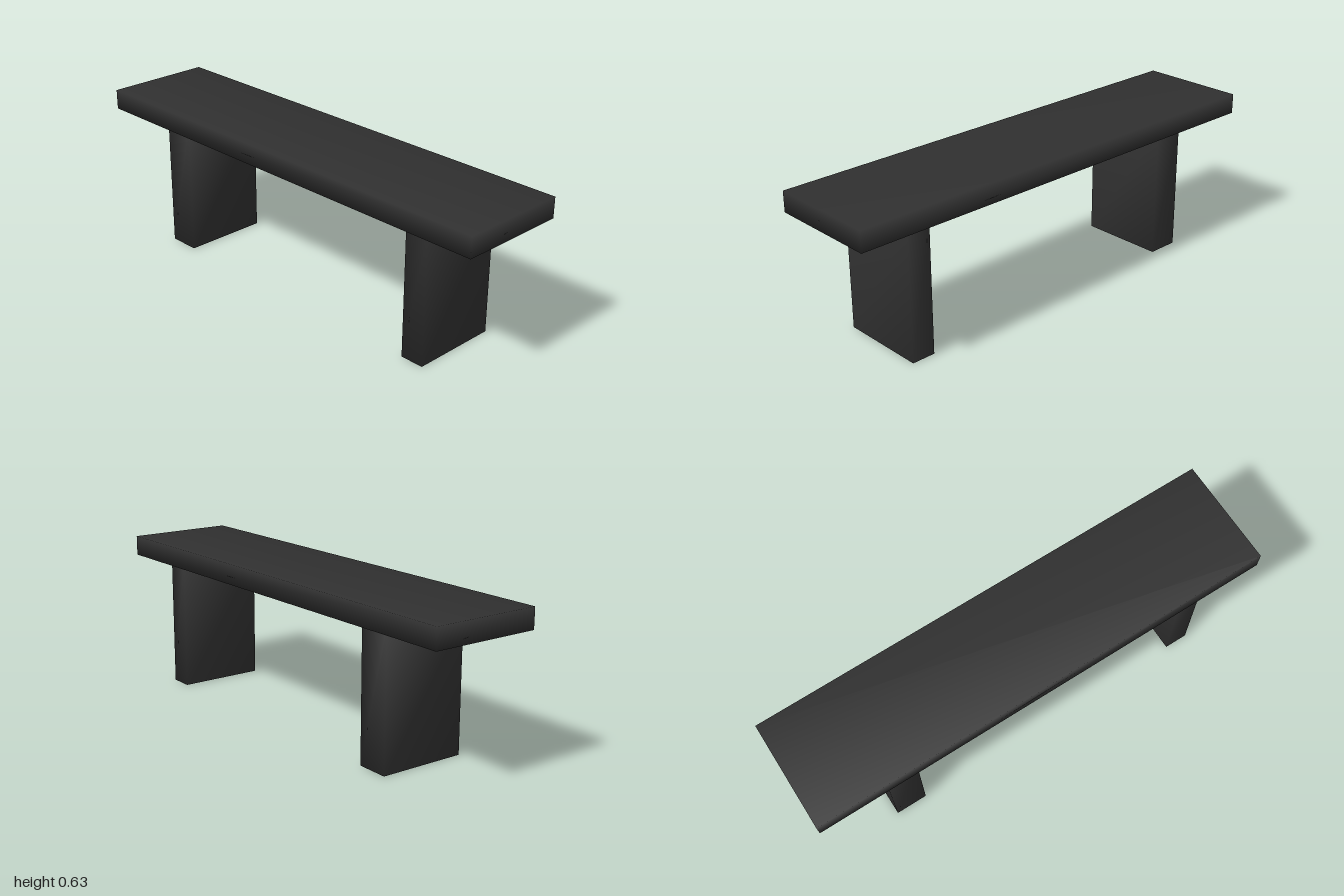
import * as THREE from 'three';
import { mergeVertices } from 'three/addons/utils/BufferGeometryUtils.js';

// Box with shared corners, so its shading runs softly around the edges
function softBox(w, h, d) {
  const box = new THREE.BoxGeometry(w, h, d);
  box.deleteAttribute('normal');
  box.deleteAttribute('uv');
  const geometry = mergeVertices(box);
  geometry.computeVertexNormals();
  return geometry;
}

export function createModel() {
  const bench = new THREE.Group();
  bench.name = 'bench';
  const charcoal = new THREE.MeshStandardMaterial({ name: 'charcoal', color: 0x303030 });

  // Places a box by its lower and upper limits
  function addBox(name, [x0, y0, z0], [x1, y1, z1]) {
    const mesh = new THREE.Mesh(softBox(x1 - x0, y1 - y0, z1 - z0), charcoal);
    mesh.name = name;
    mesh.position.set((x0 + x1) / 2, (y0 + y1) / 2, (z0 + z1) / 2);
    bench.add(mesh);
  }

  // Long seat slab
  addBox('seat', [-0.23, 0.546, -1], [0.23, 0.631, 1]);

  // Two slab legs, the back one thicker
  addBox('frontLeg', [-0.184, 0, 0.67], [0.184, 0.546, 0.77]);
  addBox('backLeg', [-0.184, 0, -0.695], [0.184, 0.546, -0.56]);

  return bench;
}
